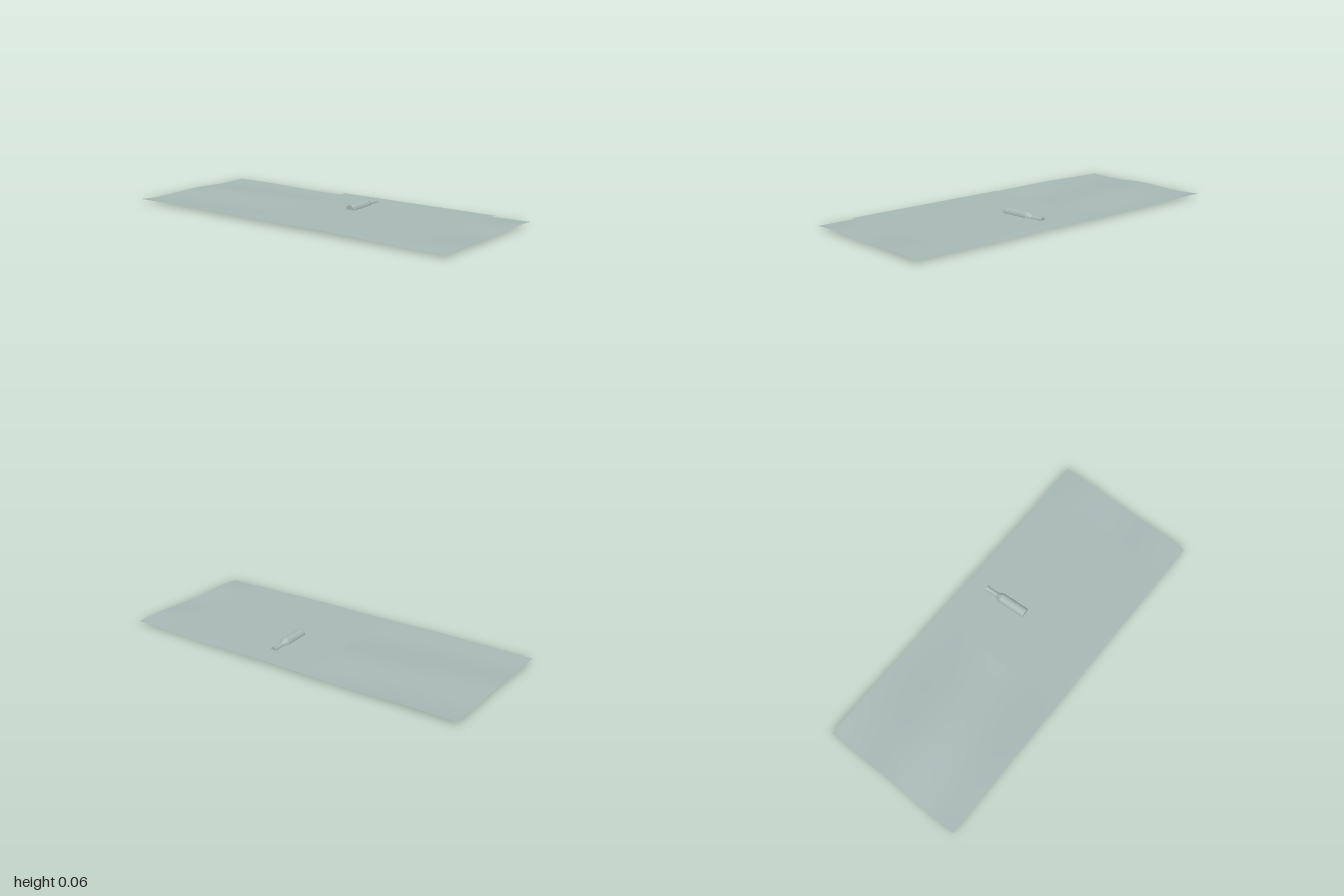
import * as THREE from 'three';

export function createModel() {
  const model = new THREE.Group();
  const water = new THREE.MeshStandardMaterial({ color: 0xa6b8b5, side: THREE.DoubleSide });
  water.name = 'pale grey green';

  const add = (name, geometry) => {
    const mesh = new THREE.Mesh(geometry, water);
    mesh.name = name;
    model.add(mesh);
    return mesh;
  };

  // Rippled sheet: crests run diagonally, with a slower swell along the length
  const sheet = new THREE.PlaneGeometry(0.82, 2, 48, 96).rotateX(-Math.PI / 2);
  const p = sheet.attributes.position;
  for (let i = 0; i < p.count; i++) {
    const x = p.getX(i), z = p.getZ(i);
    const ripple = 0.0045 * Math.cos(12 * x - 1.57 * (z + 1));
    const swell = 0.0025 * Math.sin(7 * z + 2 * x);
    p.setY(i, 0.0155 + ripple + swell);
  }
  sheet.computeVertexNormals();
  add('waterSheet', sheet);

  // Flat panel lying just above the ripples
  const panel = add('flatPanel', new THREE.PlaneGeometry(0.78, 0.97).rotateX(-Math.PI / 2));
  panel.position.set(0, 0.027, 0.33);

  // Bottle on its side, half sunk; each part is a lathe with its own smooth profile
  const bottle = new THREE.Group();
  bottle.name = 'bottle';
  const lathe = (name, profile) => {
    const points = profile.map(([r, y]) => new THREE.Vector2(r, y));
    const mesh = add(name, new THREE.LatheGeometry(points, 32));
    bottle.add(mesh);
  };
  lathe('bottleBase', [[0, 0], [0.024, 0]]);
  lathe('bottleBody', [[0.024, 0], [0.0265, 0.002], [0.0278, 0.006], [0.0278, 0.156]]);
  lathe('bottleShoulder', [[0.0278, 0.156], [0.025, 0.165], [0.018, 0.18], [0.0145, 0.188]]);
  lathe('bottleNeck', [[0.0145, 0.188], [0.0135, 0.243]]);
  lathe('bottleLip', [[0.0135, 0.243], [0.0165, 0.244], [0.0165, 0.256], [0.0145, 0.257]]);
  lathe('bottleMouth', [[0.0145, 0.257], [0, 0.257]]);
  bottle.rotation.set(0, 0.06, -Math.PI / 2, 'YXZ');
  bottle.position.set(0.04, 0.028, 0.143);
  model.add(bottle);

  return model;
}
